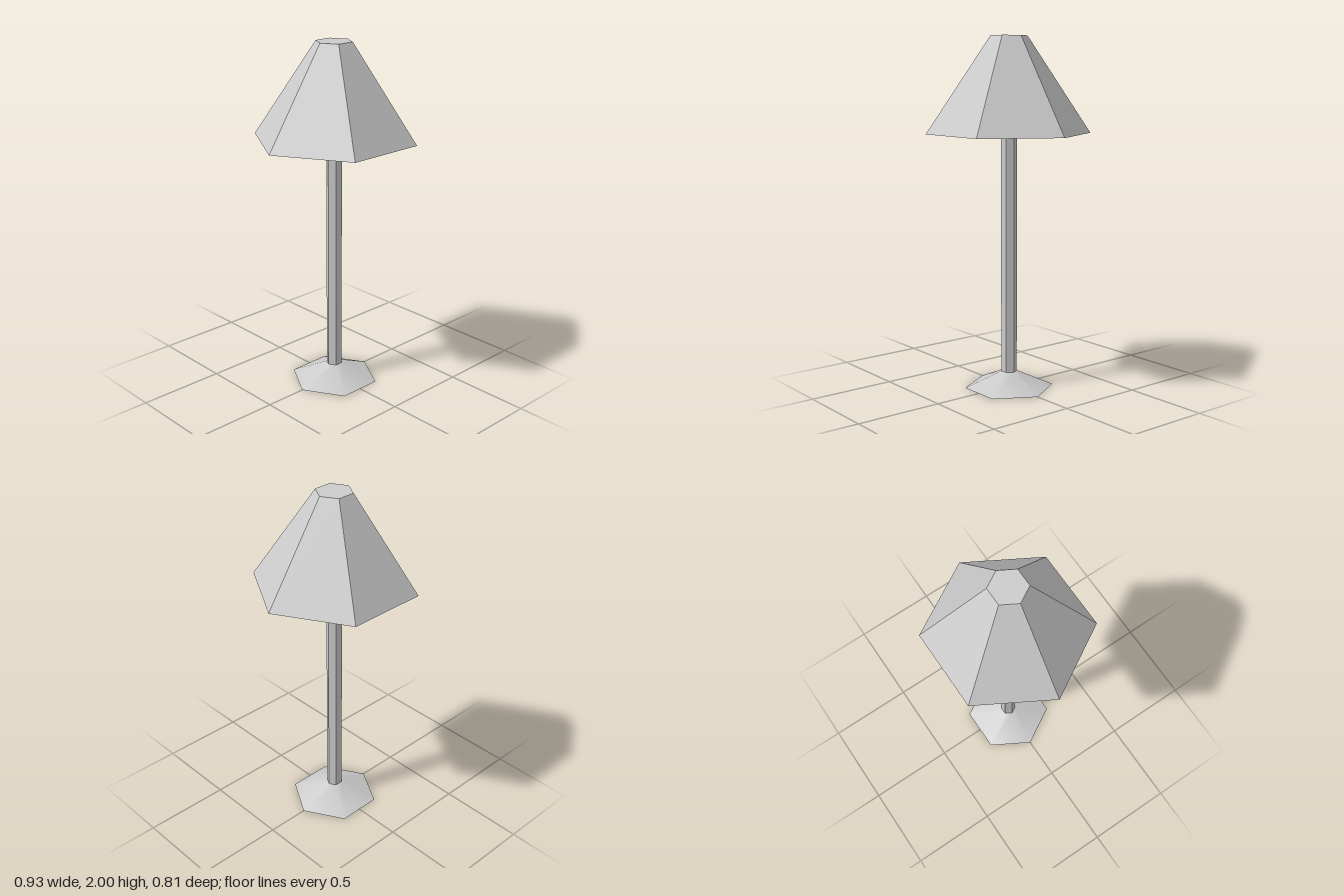
import * as THREE from 'three';

// Six-sided tapered section with corners on the x axis
function hexSection(name, topRadius, bottomRadius, y0, y1, flatShading, openEnded = false) {
  const geometry = new THREE.CylinderGeometry(
    topRadius, bottomRadius, y1 - y0, 6, 1, openEnded, Math.PI / 6);
  geometry.translate(0, (y0 + y1) / 2, 0);
  const material = new THREE.MeshStandardMaterial({ color: 0xcccccc, flatShading });
  const mesh = new THREE.Mesh(geometry, material);
  mesh.name = name;
  return mesh;
}

export function createModel() {
  const lamp = new THREE.Group();
  lamp.name = 'floorLamp';

  // Shallow flared foot, softly shaded across its gentle edges
  lamp.add(hexSection('base', 0.045, 0.255, 0, 0.092, false));
  // Slim faceted pole between the foot and the shade
  lamp.add(hexSection('pole', 0.045, 0.045, 0.092, 1.46, true, true));
  // Closed, faceted shade
  lamp.add(hexSection('shade', 0.103, 0.465, 1.46, 2, true));

  return lamp;
}
